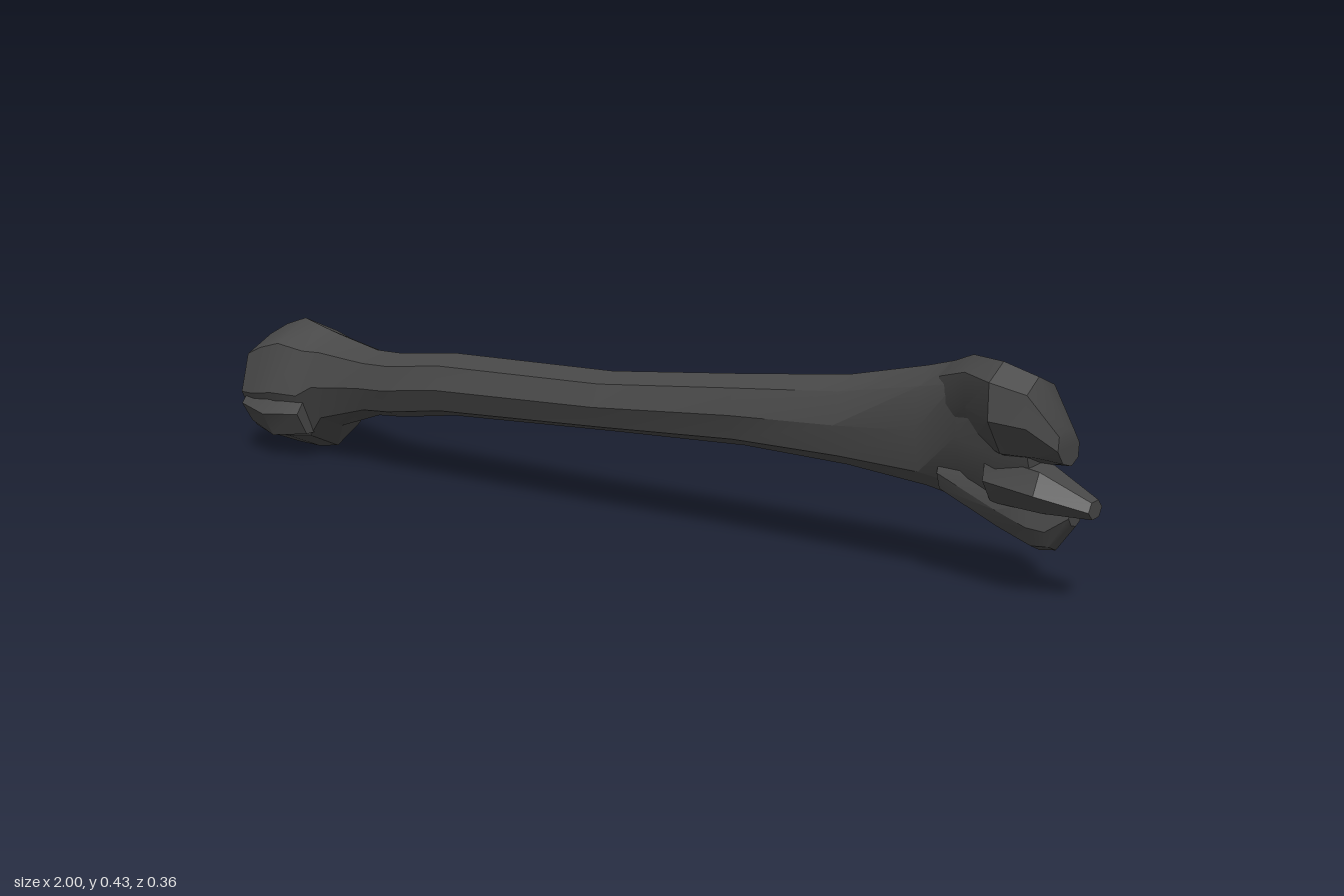
import * as THREE from 'three';
import { toCreasedNormals } from 'three/addons/utils/BufferGeometryUtils.js';

const material = new THREE.MeshStandardMaterial({ color: 0x484848 });

// Lofts faceted oval rings along x. Each ring: [x, yLow, yHigh, zBack, zFront, lean]
// where lean shifts the ring forward as it rises.
function loft(name, rings, sides = 8) {
  const positions = [];
  const index = [];
  for (const [x, y0, y1, z0, z1, lean = 0] of rings) {
    const ry = (y1 - y0) / 2;
    for (let j = 0; j < sides; j++) {
      const a = (j / sides) * Math.PI * 2;
      const dy = ry * Math.sin(a);
      const z = (z0 + z1) / 2 + ((z1 - z0) / 2) * Math.cos(a) + lean * dy;
      positions.push(x, (y0 + y1) / 2 + dy, z);
    }
  }
  for (let i = 0; i < rings.length - 1; i++) {
    for (let j = 0; j < sides; j++) {
      const k = (j + 1) % sides;
      const a = i * sides + j, b = a + sides;
      const d = i * sides + k, c = d + sides;
      index.push(a, b, c, a, c, d);
    }
  }
  // End caps
  const last = (rings.length - 1) * sides;
  for (let j = 1; j < sides - 1; j++) {
    index.push(0, j, j + 1, last, last + j + 1, last + j);
  }
  const geometry = new THREE.BufferGeometry();
  geometry.setAttribute('position', new THREE.Float32BufferAttribute(positions, 3));
  geometry.setIndex(index);
  const mesh = new THREE.Mesh(toCreasedNormals(geometry, 0.55), material);
  mesh.name = name;
  return mesh;
}

export function createModel() {
  const bone = new THREE.Group();
  bone.name = 'bone';

  // Rounded head, neck and long shaft flaring into the flat far end
  bone.add(loft('headAndShaft', [
    [-1.0, 0.08, 0.14, -0.09, 0.0],
    [-0.96, 0.02, 0.245, -0.15, 0.06, 0.1],
    [-0.92, 0.0, 0.27, -0.19, 0.07, 0.1],
    [-0.86, 0.0, 0.29, -0.185, 0.075, 0.1],
    [-0.8, 0.01, 0.275, -0.165, 0.06, 0.1],
    [-0.76, 0.065, 0.265, -0.135, 0.055],
    [-0.63, 0.11, 0.25, -0.085, 0.055],
    [-0.55, 0.12, 0.255, -0.07, 0.07],
    [-0.4, 0.145, 0.275, -0.06, 0.08],
    [0.0, 0.17, 0.288, -0.05, 0.085],
    [0.3, 0.185, 0.32, -0.042, 0.077],
    [0.52, 0.183, 0.347, -0.032, 0.08],
    [0.68, 0.17, 0.385, -0.017, 0.08, 0.05],
    [0.76, 0.15, 0.41, -0.005, 0.085, 0.2],
    [0.84, 0.115, 0.42, 0.0, 0.11, 0.33],
    [0.9, 0.14, 0.385, 0.01, 0.1, 0.33],
  ]));

  // Bump on the front of the head
  bone.add(loft('headTubercle', [
    [-0.95, 0.06, 0.16, -0.06, 0.07, -0.1],
    [-0.87, 0.04, 0.16, -0.06, 0.09, -0.15],
    [-0.79, 0.05, 0.16, -0.06, 0.067, -0.1],
  ], 6));

  // Large upper knuckle
  bone.add(loft('upperCondyle', [
    [0.72, 0.27, 0.395, 0.0, 0.075, 0.2],
    [0.79, 0.255, 0.425, 0.0, 0.115, 0.35],
    [0.86, 0.245, 0.427, -0.005, 0.172, 0.4],
    [0.915, 0.245, 0.405, -0.005, 0.145, 0.4],
    [0.955, 0.25, 0.32, 0.02, 0.105, 0.4],
  ]));

  // Middle spur reaching the tip
  bone.add(loft('middleSpur', [
    [0.82, 0.165, 0.265, 0.015, 0.1, 0.3],
    [0.92, 0.165, 0.25, 0.0, 0.118, 0.2],
    [1.0, 0.165, 0.2, 0.02, 0.075, 0.2],
  ], 6));

  // Small lower knuckle
  bone.add(loft('lowerCondyle', [
    [0.72, 0.165, 0.25, -0.01, 0.07],
    [0.83, 0.11, 0.21, -0.015, 0.07, 0.2],
    [0.885, 0.084, 0.19, -0.022, 0.065, 0.3],
    [0.915, 0.088, 0.175, -0.02, 0.055, 0.3],
    [0.955, 0.14, 0.18, 0.0, 0.05, 0.3],
  ], 8));

  return bone;
}
